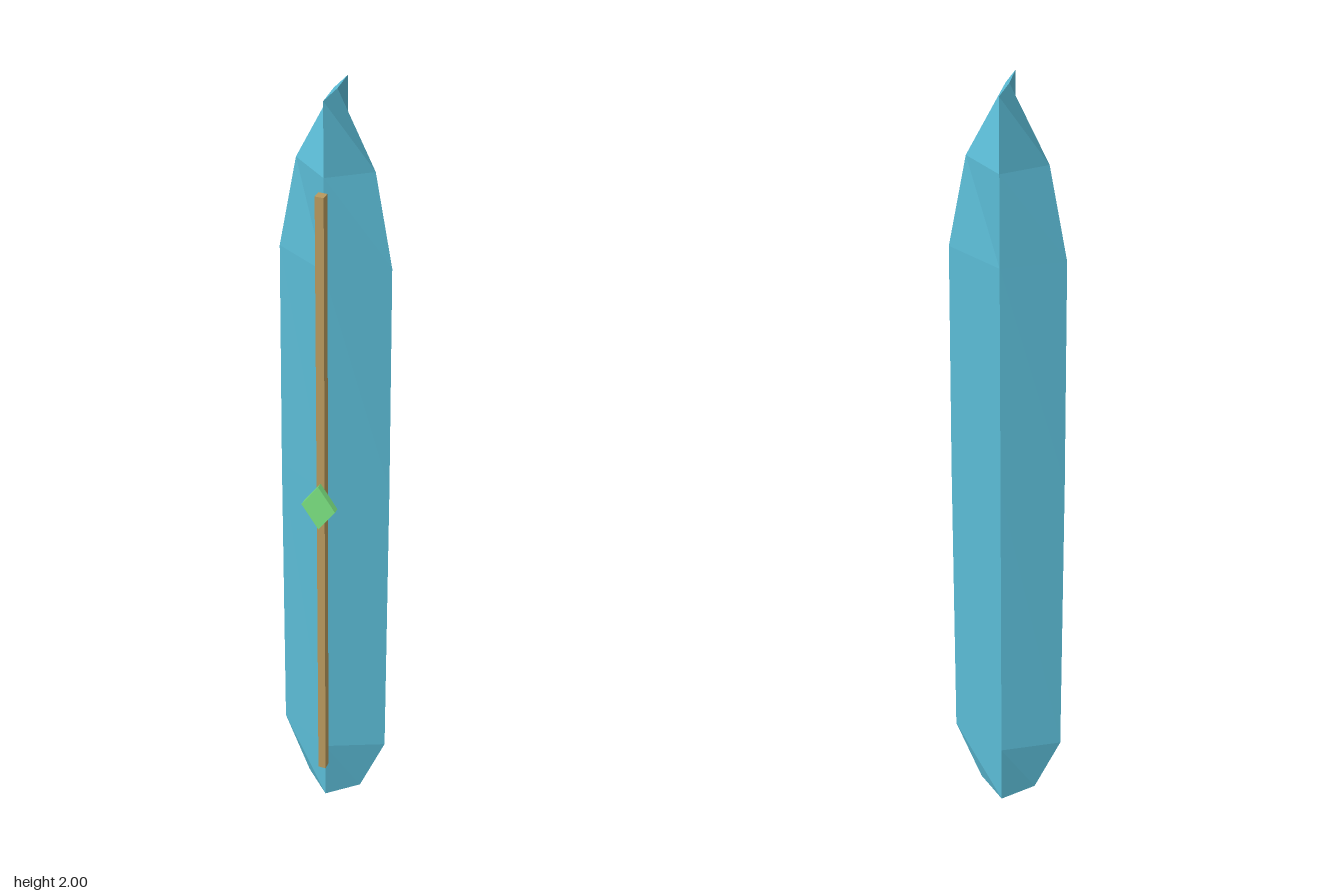
import * as THREE from 'three';

const material = (color) => new THREE.MeshStandardMaterial({ color, flatShading: true });

// Diamond cross-sections stacked upwards: straight front and back ridges, side edges follow the profile
function bladeGeometry(profile, sideZ, frontZ, backZ) {
  const points = [], index = [];
  for (const [y, w] of profile) {
    points.push(-w, y, sideZ, 0, y, frontZ, w, y, sideZ, 0, y, backZ);
  }
  for (let i = 0; i < profile.length - 1; i++) {
    for (let j = 0; j < 4; j++) {
      const a = i * 4 + j, b = i * 4 + (j + 1) % 4;
      index.push(a, b, a + 4, b, b + 4, a + 4);
    }
  }
  // End caps
  const t = (profile.length - 1) * 4;
  index.push(0, 2, 1, 0, 3, 2, t, t + 1, t + 2, t, t + 2, t + 3);
  const indexed = new THREE.BufferGeometry();
  indexed.setAttribute('position', new THREE.Float32BufferAttribute(points, 3));
  indexed.setIndex(index);
  const geometry = indexed.toNonIndexed();
  geometry.computeVertexNormals();
  return geometry;
}

export function createModel() {
  const model = new THREE.Group();
  model.name = 'crystalBlade';
  const add = (name, geometry, color) => {
    const mesh = new THREE.Mesh(geometry, material(color));
    mesh.name = name;
    model.add(mesh);
    return mesh;
  };

  // Faceted blade: [height, half width]
  const profile = [[0, 0.073], [0.18, 0.14], [1.02, 0.136], [1.61, 0.13], [1.83, 0.089], [2, 0.004]];
  add('blade', bladeGeometry(profile, -0.019, 0.046, -0.085), 0x5bbcd6);

  // Thin strip in front of the ridge
  add('strip', new THREE.BoxGeometry(0.02, 1.675, 0.02), 0xb8995e).position.set(0, 0.96, 0.059);

  // Diamond plate on the strip
  const diamond = new THREE.Shape([
    new THREE.Vector2(0, -0.062), new THREE.Vector2(0.042, 0),
    new THREE.Vector2(0, 0.062), new THREE.Vector2(-0.042, 0),
  ]);
  const plate = new THREE.ExtrudeGeometry(diamond, { depth: 0.015, bevelEnabled: false });
  add('diamond', plate, 0x7ae080).position.set(0, 0.998, 0.069);

  return model;
}
